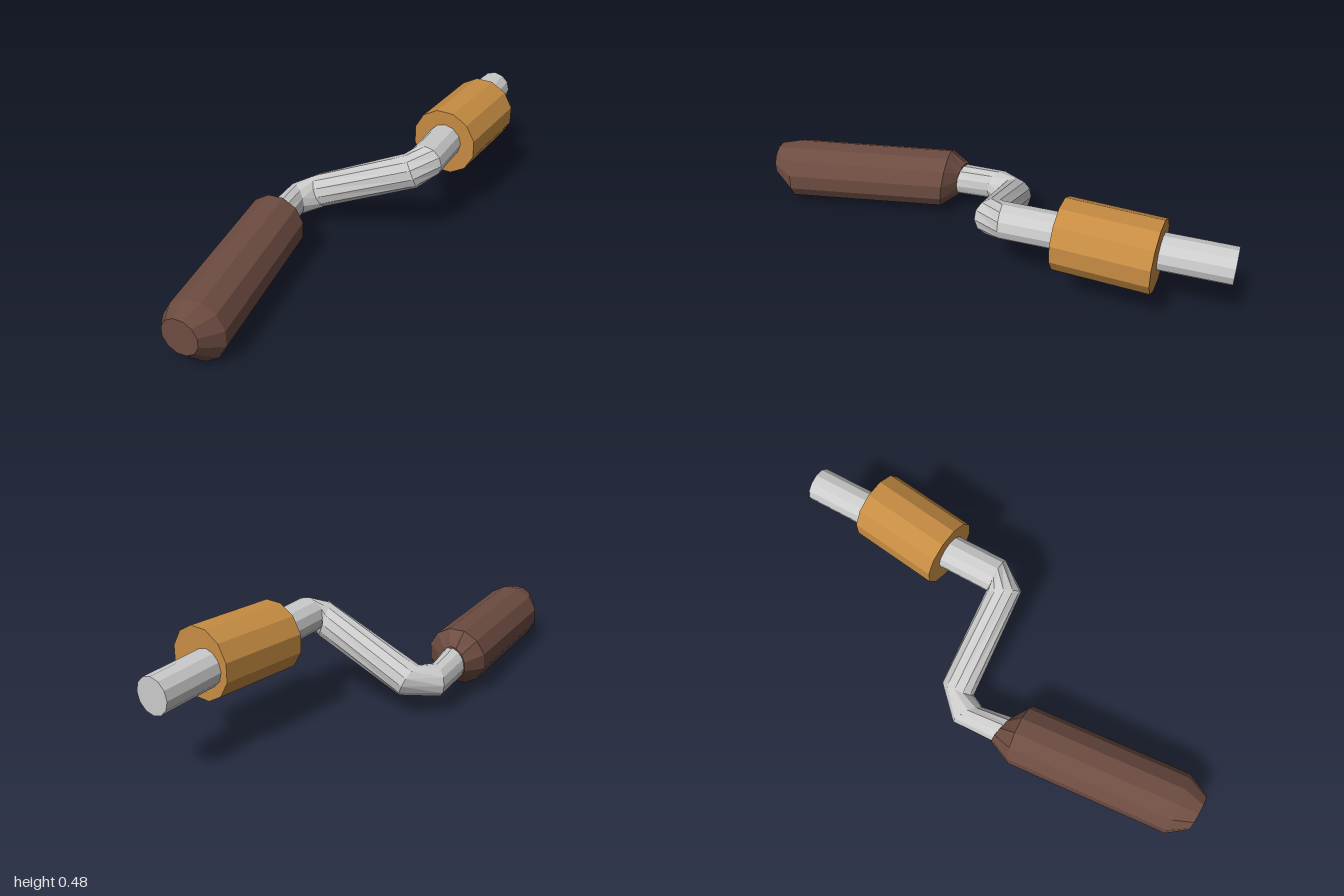
import * as THREE from 'three';

const SIDES = 12;

// Closed flat-shaded skin through rings: [centre, facing direction, radius]
function loft(name, color, rings, roll = 0) {
  const pos = [];
  const loops = rings.map(([c, d, r]) => {
    const n = new THREE.Vector3(...d).normalize();
    const u = new THREE.Vector3(0, 1, 0).addScaledVector(n, -n.y).normalize();
    const v = n.clone().cross(u);
    return Array.from({ length: SIDES }, (_, j) => {
      const a = ((j + roll) / SIDES) * Math.PI * 2;
      return new THREE.Vector3(...c)
        .addScaledVector(u, r * Math.cos(a))
        .addScaledVector(v, r * Math.sin(a));
    });
  });
  const tri = (...points) => points.forEach((p) => pos.push(p.x, p.y, p.z));
  const last = rings.length - 1;
  const start = new THREE.Vector3(...rings[0][0]);
  const end = new THREE.Vector3(...rings[last][0]);
  for (let j = 0; j < SIDES; j++) {
    const k = (j + 1) % SIDES;
    for (let i = 0; i < last; i++) {
      const [a, b] = [loops[i], loops[i + 1]];
      tri(a[j], a[k], b[k]);
      tri(a[j], b[k], b[j]);
    }
    tri(start, loops[0][k], loops[0][j]);
    tri(end, loops[last][j], loops[last][k]);
  }
  const geometry = new THREE.BufferGeometry();
  geometry.setAttribute('position', new THREE.Float32BufferAttribute(pos, 3));
  geometry.computeVertexNormals();
  const mesh = new THREE.Mesh(geometry, new THREE.MeshStandardMaterial({ color, flatShading: true }));
  mesh.name = name;
  return mesh;
}

export function createModel() {
  const group = new THREE.Group();
  group.name = 'handCrank';

  // Bent rod: grip stub, crank arm and axle, with a bevelled bend at each corner
  group.add(loft('crankRod', 0xcccccc, [
    [[-0.24, 0.157, 0.28], [-0.16, 0, -1], 0.066],
    [[-0.277, 0.14, 0.033], [0.53, 0, -0.85], 0.066],
    [[-0.21, 0.155, -0.06], [0.9, 0.4, -0.13], 0.07],
    [[0.18, 0.335, -0.095], [0.78, 0.33, -0.53], 0.072],
    [[0.216, 0.358, -0.145], [-0.05, 0, -1], 0.072],
    [[0.17, 0.342, -1], [-0.02, 0, -1], 0.071],
  ]));

  // Grip with tapered ends
  group.add(loft('grip', 0x6d4c41, [
    [[-0.255, 0.155, 0.185], [-0.19, 0, 1], 0.068],
    [[-0.235, 0.154, 0.255], [0.12, 0.1, 1], 0.124],
    [[-0.128, 0.127, 0.915], [0.12, 0.04, 1], 0.126],
    [[-0.125, 0.156, 0.995], [0.05, 0, 1], 0.075],
  ], 0.5));

  // Collar around the axle
  const axis = [-0.05, -0.015, 1];
  group.add(loft('collar', 0xc68c42, [
    [[0.22, 0.352, -0.735], axis, 0.14],
    [[0.2, 0.346, -0.367], axis, 0.14],
  ], 0.5));

  return group;
}
